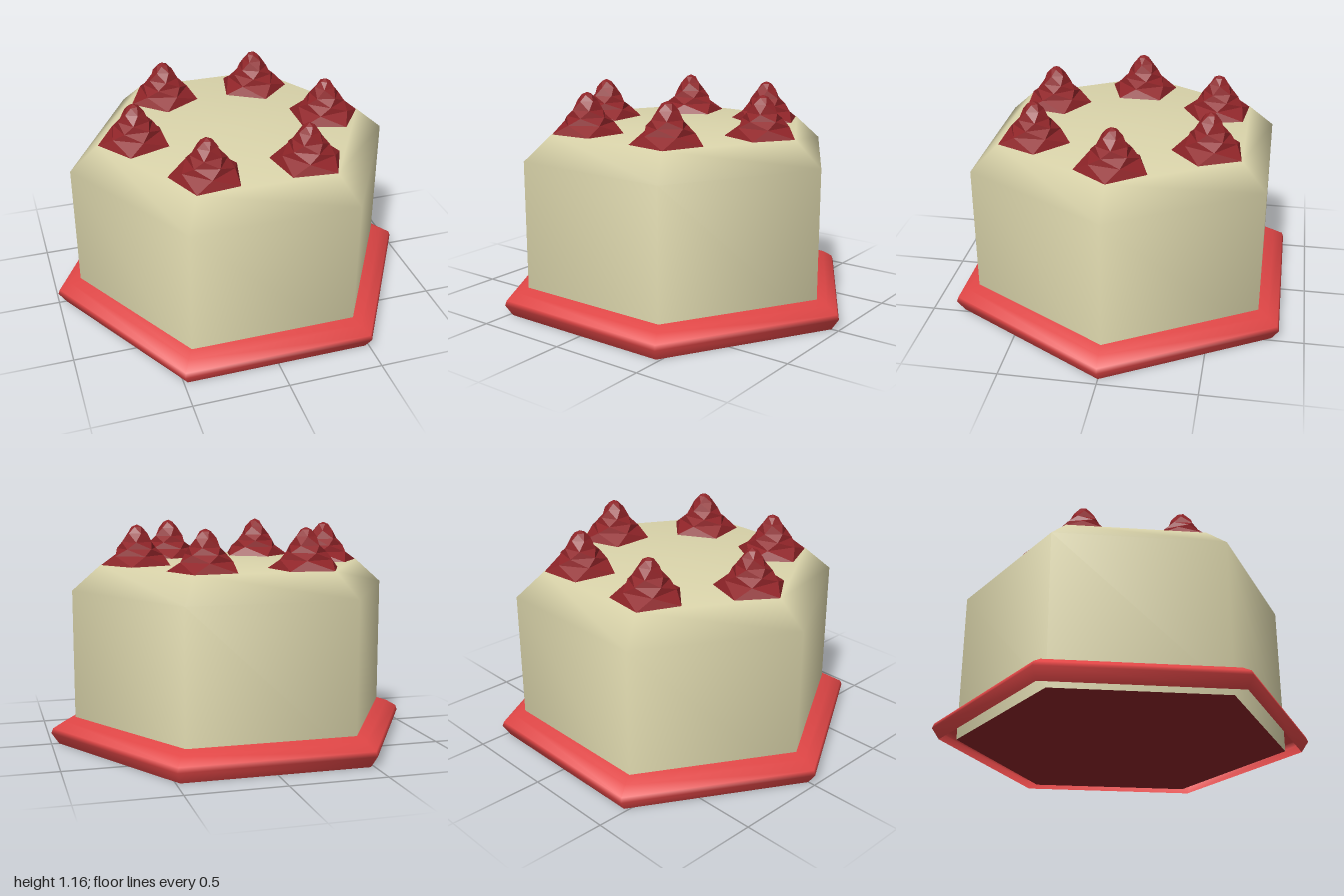
import * as THREE from 'three';

const SIDES = 6;

// Hexagonal solid of revolution with a corner on +x, profile listed bottom to top
function hexLathe(points) {
  const profile = points.map(([r, y]) => new THREE.Vector2(r, y));
  return new THREE.LatheGeometry(profile, SIDES, Math.PI / 2, Math.PI * 2);
}

// Five-sided piped swirl: each ring turns further as it rises
function swirlGeometry() {
  const rings = [[0.193, 0], [0.138, 0.05], [0.108, 0.085], [0.082, 0.12], [0.055, 0.165], [0.028, 0.198], [0, 0.21]];
  const profile = rings.map(([r, y]) => new THREE.Vector2(r, y));
  const geo = new THREE.LatheGeometry(profile, 5, Math.PI / 2, Math.PI * 2);
  const pos = geo.attributes.position;
  const axis = new THREE.Vector3(0, 1, 0);
  const v = new THREE.Vector3();
  for (let i = 0; i < pos.count; i++) {
    const ring = i % rings.length;
    v.fromBufferAttribute(pos, i).applyAxisAngle(axis, ring * 0.45);
    pos.setXYZ(i, v.x, v.y, v.z);
  }
  const flat = geo.toNonIndexed();
  flat.computeVertexNormals();
  return flat;
}

export function createModel() {
  const cake = new THREE.Group();
  cake.name = 'cake';

  const cream = new THREE.MeshStandardMaterial({ color: 0xdcd6ac });
  cream.name = 'cream icing';
  const red = new THREE.MeshStandardMaterial({ color: 0xe04646, side: THREE.DoubleSide });
  red.name = 'red plate';
  const darkRed = new THREE.MeshStandardMaterial({ color: 0x8f2428, flatShading: true });
  darkRed.name = 'dark red topping';

  const add = (geo, mat, name) => {
    const mesh = new THREE.Mesh(geo, mat);
    mesh.name = name;
    cake.add(mesh);
    return mesh;
  };

  // Iced body with bevelled top edge
  add(hexLathe([[0.87, 0.002], [0.87, 0.82], [0.72, 0.95], [0, 0.95]]), cream, 'body');

  // Hollow flared rim around the foot
  add(hexLathe([[0.96, 0], [1, 0.06], [0.99, 0.085], [0.93, 0.12], [0.87, 0.14]]), red, 'plateRim');

  // Underside
  const base = add(new THREE.CircleGeometry(0.87, SIDES), darkRed, 'underside');
  base.rotation.x = Math.PI / 2;
  base.position.y = 0.002;

  // Ring of swirls, each with one corner pointing outward
  const swirl = swirlGeometry();
  for (let i = 0; i < SIDES; i++) {
    const a = (i * Math.PI * 2) / SIDES;
    const mesh = add(swirl, darkRed, 'swirl' + (i + 1));
    mesh.position.set(Math.cos(a) * 0.523, 0.95, -Math.sin(a) * 0.523);
    mesh.rotation.y = a;
  }

  return cake;
}
